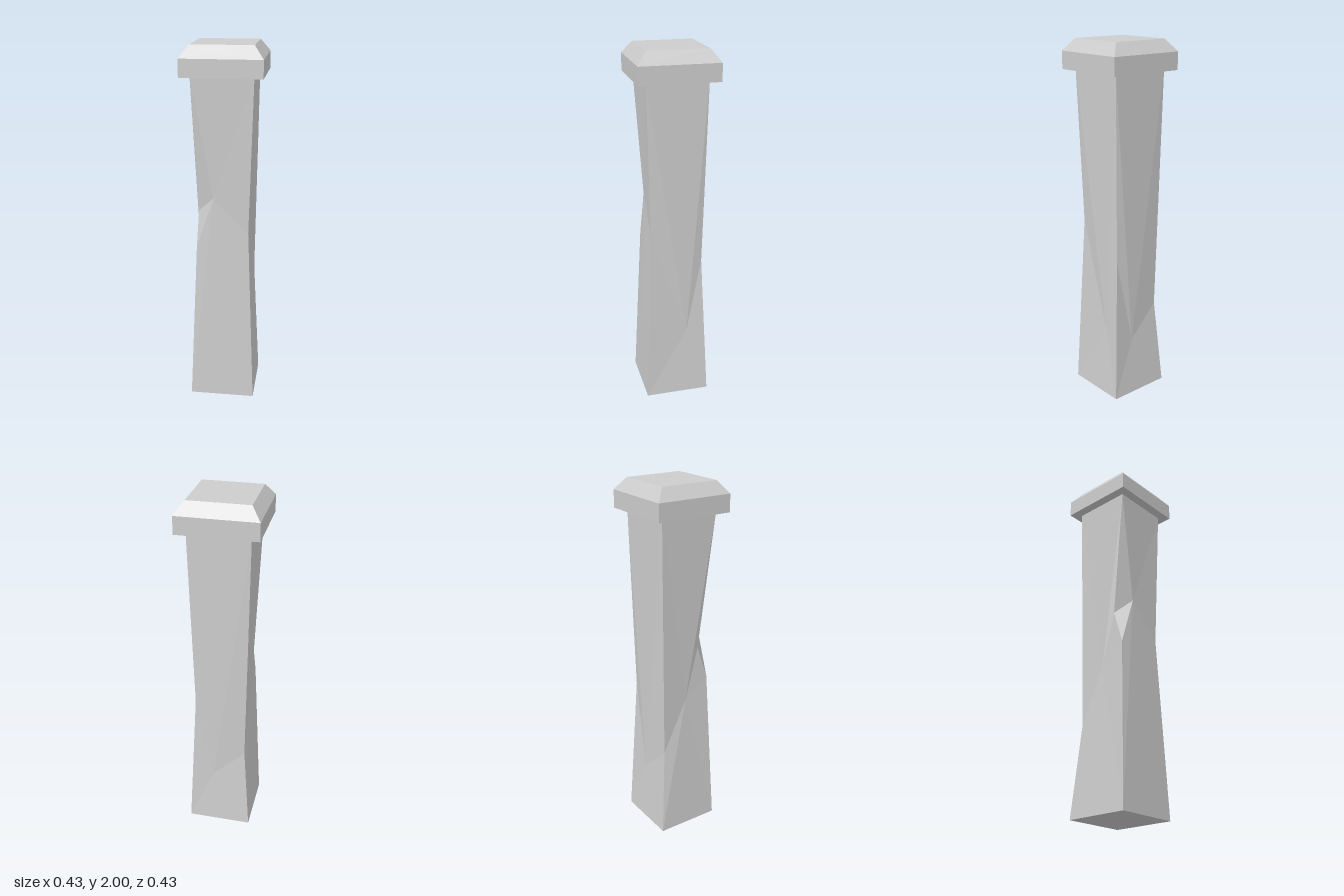
import * as THREE from 'three';

const stone = new THREE.MeshStandardMaterial({ color: 0xcccccc });
stone.name = 'grey stone';

// Square tapered block, half widths at bottom and top
function squareBlock(name, bottom, top, y0, y1) {
  const r = Math.SQRT2;
  const g = new THREE.CylinderGeometry(top * r, bottom * r, y1 - y0, 4).toNonIndexed();
  g.rotateY(Math.PI / 4);
  g.translate(0, (y0 + y1) / 2, 0);
  g.computeVertexNormals();
  const mesh = new THREE.Mesh(g, stone);
  mesh.name = name;
  return mesh;
}

// Roughly hewn shaft: four uneven corner edges, each face fanned around a worn point
function hewnShaft() {
  const B = 0.18, T = 0.165, H = 1.84;
  const edge = (sx, sz, ...waist) => [[sx * B, 0, sz * B], ...waist, [sx * T, H, sz * T]];
  const frontRight = edge(1, 1, [0.14, 1.0, 0.142]);
  const backRight = edge(1, -1, [0.142, 0.83, -0.144]);
  const backLeft = edge(-1, -1, [-0.142, 0.5, -0.142]);
  const frontLeft = edge(-1, 1, [-0.144, 0.91, 0.142], [-0.14, 1.1, 0.08]); // chipped edge

  const pos = [];
  // left and right edges as seen from outside, and the worn point between them
  const face = (left, right, mid) => {
    const ring = [...right, ...[...left].reverse()];
    ring.forEach((p, i) => pos.push(...mid, ...p, ...ring[(i + 1) % ring.length]));
  };
  face(frontLeft, frontRight, [-0.05, 1.19, 0.139]);
  face(frontRight, backRight, [0.152, 0.4, -0.06]);
  face(backRight, backLeft, [0.04, 0.33, -0.154]);
  face(backLeft, frontLeft, [-0.143, 0.8, 0]);

  // underside
  const [a, b, c, d] = [frontLeft, backLeft, backRight, frontRight].map((e) => e[0]);
  pos.push(...a, ...b, ...c, ...a, ...c, ...d);

  const g = new THREE.BufferGeometry();
  g.setAttribute('position', new THREE.Float32BufferAttribute(pos, 3));
  g.computeVertexNormals();
  const mesh = new THREE.Mesh(g, stone);
  mesh.name = 'shaft';
  return mesh;
}

export function createModel() {
  const group = new THREE.Group();
  group.name = 'stonePost';
  group.add(
    hewnShaft(),
    squareBlock('capSlab', 0.215, 0.215, 1.84, 1.935),
    squareBlock('capBevel', 0.215, 0.165, 1.935, 2),
  );
  return group;
}
